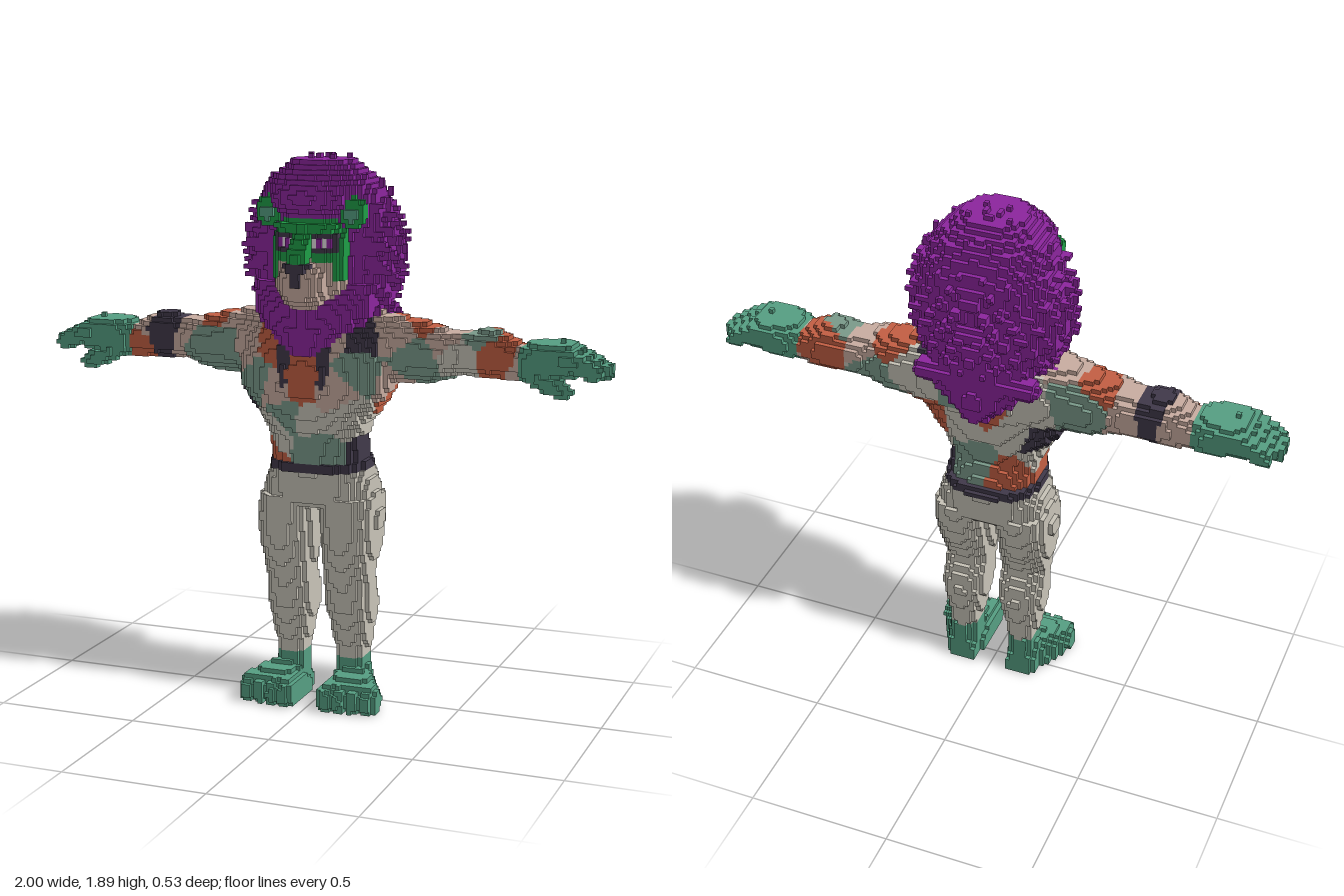
import * as THREE from 'three';

const S = 1 / 64; // cube size
const LO = [-64, 0, -20], HI = [64, 126, 20];

const COLORS = {
  purple: 0x8e26a0, green: 0x1f9f48, jade: 0x57a184, tan: 0xcbafa3, orange: 0xc56044,
  dark: 0x413a4b, cream: 0xcac6ba, sage: 0x7c9c8c, white: 0xece9ea,
};

// Seeds of the camouflage patches; each cube takes the nearest seed's colour
const CAMO = {
  orange: [[-.37, 1.34, -.02], [.36, 1.34, -.02], [.62, 1.24, .04], [.62, 1.27, -.07], [-.7, 1.2, .04], [-.1, 1.27, .18],
    [0, 1.14, .2], [.23, 1.07, -.01], [.2, 1.1, -.09], [0, 1.2, -.16], [-.1, .89, -.1], [-.14, .89, .06]],
  sage: [[-.32, 1.2, .07], [-.17, 1.15, .16], [.18, 1.2, .15], [.33, 1.21, .07], [.04, .92, .15], [-.07, 1.02, .16],
    [.06, .95, -.11], [-.42, 1.2, .05], [.56, 1.31, .01], [.08, 1.25, -.15], [.4, 1.18, -.06], [-.3, 1.25, -.11]],
  tan: [[-.48, 1.25, 0], [-.67, 1.26, -.02], [.46, 1.28, 0], [.7, 1.2, 0], [-.22, 1.23, .12], [-.1, 1.12, .18],
    [.1, 1.12, .18], [.1, 1.3, .16], [-.27, 1.34, 0], [.27, 1.3, .06], [.27, 1.16, .05]],
  dark: [[-.57, 1.27, 0], [-.21, 1.08, .03], [-.19, 1.08, -.08], [.18, 1.29, .12], [.15, .9, .01], [.16, 1.33, -.13]],
  cream: [[-.12, 1.1, -.14], [.1, 1.08, -.14], [.13, 1.03, .13], [.51, 1.24, .02], [-.16, .98, 0], [-.12, .97, .13],
    [.17, 1.0, 0], [-.18, 1.22, -.13], [.24, 1.24, -.12], [.02, 1.0, .17]],
};
const camo = (x, y, z) => {
  let best = 9, name = 'cream';
  for (const c in CAMO) for (const [a, b, d] of CAMO[c]) {
    const q = (x - a) ** 2 + (y - b) ** 2 + (z - d) ** 2;
    if (q < best) { best = q; name = c; }
  }
  return name;
};

export function createModel() {
  const cells = new Map();
  const key = (i, j, k) => ((i + 80) * 160 + j + 10) * 80 + k + 40;

  // Fills every cube whose centre passes the test; the test sees |x|, so all forms are mirrored
  function fill(part, color, min, max, test) {
    const a = min.map((v, n) => Math.max(LO[n], Math.floor(v / S) - 1));
    const b = max.map((v, n) => Math.min(HI[n], Math.ceil(v / S) + 1));
    for (let i = Math.max(0, a[0]); i < b[0]; i++) for (let j = a[1]; j < b[1]; j++) for (let k = a[2]; k < b[2]; k++) {
      const x = (i + .5) * S, y = (j + .5) * S, z = (k + .5) * S;
      if (!test(x, y, z)) continue;
      for (const side of [1, -1]) {
        const c = typeof color === 'string' ? color : color(side * x, y, z);
        const ii = side > 0 ? i : -i - 1;
        cells.set(key(ii, j, k), { part, c, p: [ii, j, k] });
      }
    }
  }
  // Rounded cross-sections along an axis: rows of [position, u0, u1, v0, v1]
  function loft(part, color, axis, power, rows) {
    const [u, v] = [0, 1, 2].filter(n => n !== axis);
    const min = [0, 0, 0], max = [0, 0, 0];
    [[axis, 0, 0], [u, 1, 2], [v, 3, 4]].forEach(([n, lo, hi]) => {
      min[n] = Math.min(...rows.map(r => r[lo]));
      max[n] = Math.max(...rows.map(r => r[hi]));
    });
    fill(part, color, min, max, (...p) => {
      const t = p[axis], n = rows.findIndex((r, m) => m > 0 && t <= r[0]);
      if (n < 1 || t < rows[0][0]) return false;
      const A = rows[n - 1], B = rows[n], f = (t - A[0]) / (B[0] - A[0]);
      const r = A.map((q, m) => q + (B[m] - q) * f);
      const d = (w, lo, hi) => Math.abs((w - (lo + hi) / 2) / ((hi - lo) / 2)) ** power;
      return d(p[u], r[1], r[2]) + d(p[v], r[3], r[4]) <= 1;
    });
  }
  function ball(part, color, c, r, power = 2) {
    fill(part, color, c.map((v, n) => v - r[n]), c.map((v, n) => v + r[n]), (...p) =>
      p.reduce((s, v, n) => s + Math.abs((v - c[n]) / r[n]) ** power, 0) <= 1);
  }
  // Tapered rod from a to b; an end radius of 0 makes a tuft
  function rod(part, color, a, b, ra, rb) {
    const A = new THREE.Vector3(...a), D = new THREE.Vector3(...b).sub(A), P = new THREE.Vector3(), L = D.lengthSq();
    const R = Math.max(ra, rb);
    fill(part, color, a.map((v, n) => Math.min(v, b[n]) - R), a.map((v, n) => Math.max(v, b[n]) + R), (x, y, z) => {
      P.set(x, y, z).sub(A);
      const t = Math.min(1, Math.max(0, P.dot(D) / L));
      return P.addScaledVector(D, -t).length() <= ra + (rb - ra) * t;
    });
  }

  // Trousers: hips and legs
  loft('hips', 'cream', 1, 2.6, [[.7, -.2, .2, -.13, .13], [.76, -.195, .195, -.145, .145], [.84, -.165, .165, -.15, .15]]);
  loft('leg', 'cream', 1, 2.3, [[.14, .065, .155, -.07, .04], [.25, .045, .175, -.085, .065], [.34, .025, .19, -.105, .09],
    [.4, .025, .185, -.09, .1], [.46, .025, .185, -.06, .11], [.56, .02, .205, -.1, .135], [.66, .015, .215, -.13, .145],
    [.74, 0, .205, -.14, .145]]);

  // Torso and arms in the patterned shirt
  loft('torso', camo, 1, 2.5, [[.85, -.16, .16, -.13, .15], [.94, -.16, .16, -.1, .155], [1.0, -.18, .18, -.11, .175],
    [1.06, -.23, .23, -.12, .19], [1.12, -.265, .265, -.13, .2], [1.22, -.27, .27, -.15, .195], [1.3, -.25, .25, -.16, .175],
    [1.37, -.18, .18, -.13, .12]]);
  loft('arm', camo, 0, 2.3, [[.1, 1.1, 1.36, -.15, .15], [.2, 1.11, 1.37, -.14, .13], [.28, 1.135, 1.355, -.125, .1],
    [.36, 1.14, 1.34, -.12, .09], [.44, 1.155, 1.32, -.1, .09], [.5, 1.18, 1.31, -.115, .07], [.6, 1.165, 1.33, -.11, .07],
    [.71, 1.165, 1.28, -.085, .06]]);
  rod('collar', 'dark', [.075, 1.25, .17], [.065, 1.14, .185], .022, .016);
  loft('belt', 'dark', 1, 2.6, [[.828, -.168, .168, -.155, .16], [.865, -.165, .165, -.14, .16]]);

  // Hands: palm, four fingers, thumb
  loft('hand', 'jade', 0, 2.6, [[.7, 1.165, 1.285, -.085, .06], [.76, 1.175, 1.3, -.11, .085], [.84, 1.185, 1.305, -.11, .085],
    [.89, 1.19, 1.285, -.105, .075]]);
  [[-.08, .95], [-.033, .972], [.014, .972], [.056, .955]].forEach(([z, x]) =>
    rod('hand', 'jade', [.86, 1.255, z], [x, 1.212, z], .034, .027));
  rod('hand', 'jade', [.74, 1.205, .05], [.8, 1.17, .065], .03, .03);
  rod('hand', 'jade', [.8, 1.17, .065], [.86, 1.15, .06], .03, .026);

  // Feet: ankle, sole, toes
  loft('foot', 'jade', 1, 2.4, [[.06, .06, .17, -.075, .06], [.155, .062, .162, -.075, .045]]);
  loft('foot', 'jade', 2, 3, [[-.075, .07, .16, -.06, .08], [-.02, .055, .18, -.1, .11], [.06, .045, .225, -.1, .12],
    [.15, .045, .25, -.09, .095]]);
  [.075, .123, .171, .218].forEach((x, n) => ball('foot', 'jade', [x, .04, .145 - n * .007], [.029, .05, .06], 2.4));

  // Mane: core, nape, beard, then tufts spread over the surface
  loft('mane', 'purple', 1, 2.2, [[1.33, -.15, .15, -.19, .05], [1.4, -.225, .225, -.21, .1], [1.5, -.26, .26, -.22, .11],
    [1.6, -.26, .26, -.22, .1], [1.7, -.235, .235, -.23, .13], [1.8, -.185, .185, -.19, .17], [1.88, -.09, .09, -.1, .08]]);
  loft('mane', 'purple', 1, 2, [[1.18, -.03, .03, -.21, -.16], [1.26, -.11, .11, -.23, -.1], [1.4, -.2, .2, -.22, 0]]);
  loft('mane', 'purple', 1, 2.2, [[1.24, -.05, .05, .12, .2], [1.32, -.15, .15, .04, .2], [1.4, -.2, .2, 0, .17],
    [1.47, -.22, .22, 0, .12]]);
  for (let n = 0; n < 260; n++) {
    const dy = 1 - 2 * (n + .5) / 260, q = Math.sqrt(1 - dy * dy), a = n * 2.39996;
    const dx = q * Math.cos(a), dz = q * Math.sin(a);
    if (dx < 0 || dy < -.8 || (dz > .45 && dy < .6)) continue;
    const at = (s, drop) => [dx * .255 * s, 1.57 + dy * .29 * s - drop, -.03 + dz * .21 * s];
    rod('mane', 'purple', at(.85, 0), at(1.19, .01), .04, 0);
  }
  [[0, 1.22], [.045, 1.2], [.09, 1.25], [.13, 1.28], [.175, 1.31]].forEach(([x, y]) => {
    rod('mane', 'purple', [x * .95, 1.37, .16 - x * .4], [x, y, .19 - x * .5], .04, 0);
    rod('mane', 'purple', [x, 1.34, -.18], [x * .9, y - .03, -.22 + x * .3], .04, 0);
  });

  // Head: eyes, cheeks and chin are coloured by position
  const faceColor = (x, y, z) => {
    const u = Math.abs(x);
    if (z > .1 && y > 1.578 && y < 1.642 && u > .03 && u < .105) {
      if (y > 1.625 || u > .092 || y < 1.593) return 'dark';
      return u > .062 && u < .08 ? 'white' : u > .045 ? 'purple' : 'white';
    }
    return y < 1.49 || (y < 1.55 && u > .03 && u < .095) ? 'tan' : 'green';
  };
  ball('head', faceColor, [0, 1.55, .06], [.132, .165, .13], 2.8);
  ball('muzzle', 'tan', [0, 1.475, .165], [.08, .085, .09], 2.3);
  rod('snout', 'green', [0, 1.65, .17], [0, 1.565, .225], .03, .036);
  ball('nose', (x, y) => y > 1.55 ? 'green' : 'dark', [0, 1.535, .238], [.042, .033, .034]);
  rod('nose', 'dark', [0, 1.53, .24], [0, 1.47, .255], .018, .01);
  rod('brow', 'green', [.03, 1.655, .175], [.095, 1.665, .155], .02, .016);

  // Forelock and ears
  ball('mane', 'purple', [0, 1.755, .07], [.15, .085, .13]);
  ball('ear', 'green', [.15, 1.705, .105], [.045, .055, .03]);
  ball('ear', 'jade', [.15, 1.7, .133], [.02, .026, .012]);

  // Turn the outer faces of the cubes into one mesh for each part and colour
  const paired = ['leg', 'arm', 'hand', 'foot', 'ear', 'brow'];
  const parts = {};
  for (const { part, c, p } of cells.values()) {
    const name = paired.includes(part) ? (p[0] >= 0 ? 'left ' : 'right ') + part : part;
    for (let a = 0; a < 3; a++) for (const s of [1, -1]) {
      const n = p.slice();
      n[a] += s;
      if (cells.has(key(...n))) continue;
      const list = ((parts[name] ??= {})[c] ??= { pos: [], nor: [] });
      const u = (a + 1) % 3, v = (a + 2) % 3;
      const q = [[0, 0], [1, 0], [1, 1], [0, 1]].map(([e, f]) => {
        const w = p.slice();
        w[a] += s > 0 ? 1 : 0; w[u] += e; w[v] += f;
        return w.map(t => t * S);
      });
      const normal = [0, 0, 0];
      normal[a] = s;
      for (const m of s > 0 ? [0, 1, 2, 0, 2, 3] : [0, 2, 1, 0, 3, 2]) { list.pos.push(...q[m]); list.nor.push(...normal); }
    }
  }
  const materials = {};
  for (const c in COLORS) { materials[c] = new THREE.MeshStandardMaterial({ color: COLORS[c] }); materials[c].name = c; }
  const model = new THREE.Group();
  model.name = 'lion figure';
  for (const name in parts) {
    const group = new THREE.Group();
    group.name = name;
    for (const c in parts[name]) {
      const g = new THREE.BufferGeometry();
      g.setAttribute('position', new THREE.Float32BufferAttribute(parts[name][c].pos, 3));
      g.setAttribute('normal', new THREE.Float32BufferAttribute(parts[name][c].nor, 3));
      const mesh = new THREE.Mesh(g, materials[c]);
      mesh.name = `${name} ${c}`;
      group.add(mesh);
    }
    model.add(group);
  }
  return model;
}
